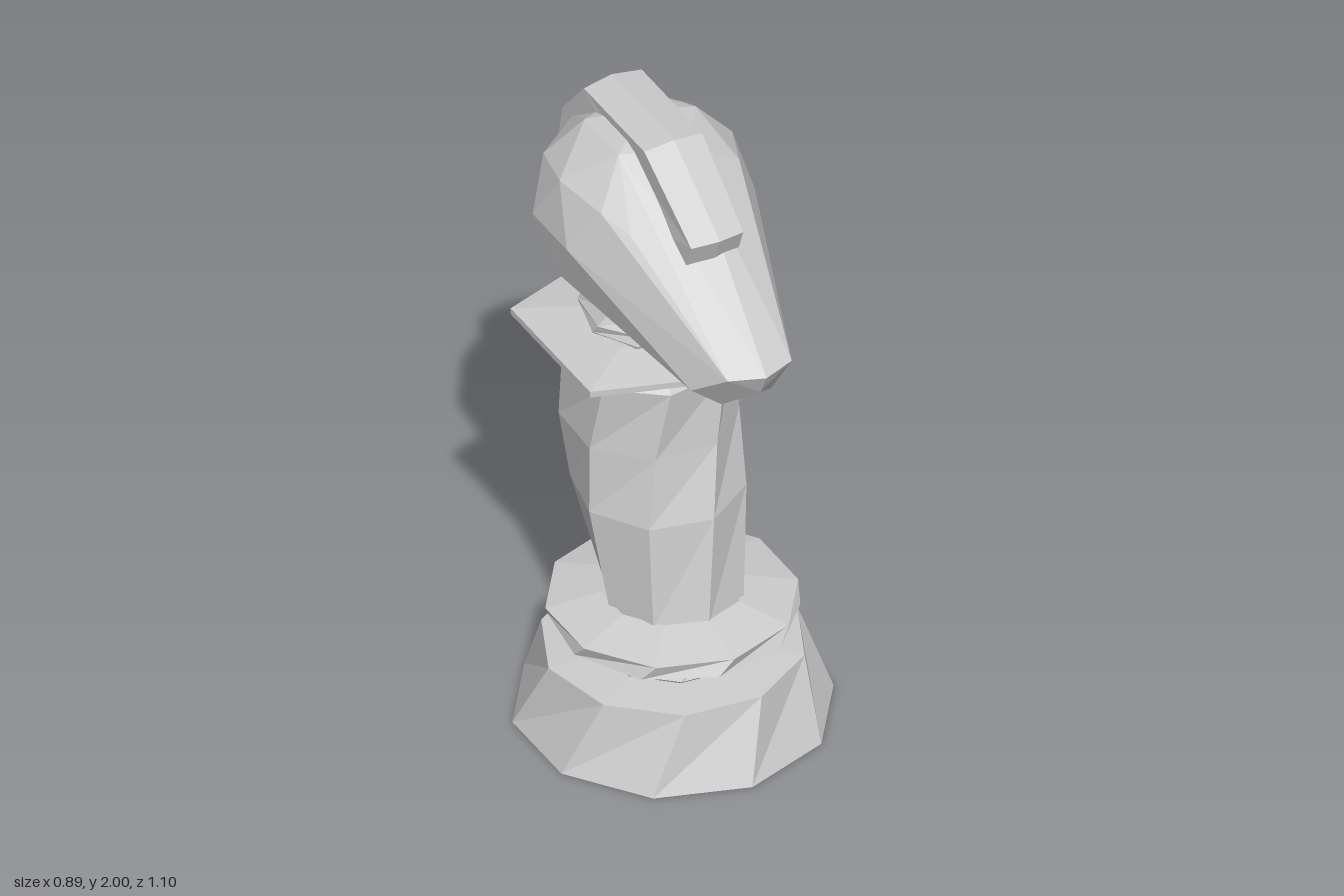
import * as THREE from 'three';
import { ConvexGeometry } from 'three/addons/geometries/ConvexGeometry.js';

const material = new THREE.MeshStandardMaterial({ color: 0xcccccc, flatShading: true });

function part(name, geometry) {
  geometry.computeVertexNormals();
  const mesh = new THREE.Mesh(geometry, material);
  mesh.name = name;
  return mesh;
}

// Joins polygon rings [radius, y, centreZ, twistDegrees]; profile runs so its outside is on the right.
function rings(name, sides, profile) {
  const pos = [], index = [];
  for (const [r, y, z, twist] of profile) {
    for (let i = 0; i < sides; i++) {
      const a = THREE.MathUtils.degToRad(twist) + i / sides * Math.PI * 2;
      pos.push(r * Math.sin(a), y, z + r * Math.cos(a));
    }
  }
  for (let k = 0; k < profile.length - 1; k++) {
    for (let i = 0; i < sides; i++) {
      const a = k * sides + i, b = k * sides + (i + 1) % sides;
      const c = a + sides, d = b + sides;
      index.push(a, b, d, a, d, c);
    }
  }
  const g = new THREE.BufferGeometry();
  g.setAttribute('position', new THREE.Float32BufferAttribute(pos, 3));
  g.setIndex(index);
  return part(name, g);
}

function buildHead() {
  // round skull with a corner at the pole and a ten-sided equator
  const skull = new THREE.IcosahedronGeometry(0.325, 1);
  skull.rotateX(-Math.atan((1 + Math.sqrt(5)) / 2));
  skull.rotateY(Math.PI / 2);
  skull.translate(0, 1.67, -0.175);
  const points = [];
  const p = skull.getAttribute('position');
  for (let i = 0; i < p.count; i++) points.push(new THREE.Vector3().fromBufferAttribute(p, i));

  // muzzle corners, wrapped into the same hull
  points.push(new THREE.Vector3(0, 1.5, 0.55), new THREE.Vector3(0, 1.43, 0.515));
  const muzzle = [
    [0.19, 1.78, 0.09], [0.105, 1.5, 0.51], [0.165, 1.42, 0.4],
    [0.08, 1.36, 0.43], [0.12, 1.345, 0.22],
  ];
  for (const [x, y, z] of muzzle) {
    points.push(new THREE.Vector3(x, y, z), new THREE.Vector3(-x, y, z));
  }
  return part('head', new ConvexGeometry(points));
}

function buildCrest() {
  // side outline as [z, y], running over the top and down the nape
  const outline = [
    [0.24, 1.72], [0.275, 1.81], [0.005, 2], [-0.365, 2], [-0.495, 1.85], [-0.55, 1.6], [-0.515, 1.43],
    [-0.3, 1.385], [-0.25, 1.5], [-0.38, 1.65], [-0.33, 1.8], [-0.16, 1.88], [0, 1.8], [0.1, 1.77],
  ];
  const shape = new THREE.Shape(outline.map(([z, y]) => new THREE.Vector2(-z, y)));
  const g = new THREE.ExtrudeGeometry(shape, { depth: 0.19, steps: 2, bevelEnabled: false });
  g.translate(0, 0, -0.095);
  g.rotateY(Math.PI / 2);
  // crown the middle by drawing both sides in, and narrow the front tip
  const p = g.getAttribute('position');
  for (let i = 0; i < p.count; i++) {
    const x = p.getX(i), y = p.getY(i), z = p.getZ(i);
    const k = Math.abs(x) > 0.05 ? 0.965 : 1;
    p.setXYZ(i, z > 0.2 ? x * 0.9 : x, 1.65 + (y - 1.65) * k, -0.165 + (z + 0.165) * k);
  }
  return part('crest', g);
}

export function createModel() {
  const group = new THREE.Group();
  group.name = 'chessPiece';

  // foot, hollow underneath
  group.add(rings('base', 10, [
    [0, 0.23, 0, 0], [0.14, 0.23, 0, 0], [0.315, 0, 0, 0], [0.47, 0, -0.003, 0],
    [0.388, 0.235, -0.003, 12], [0.24, 0.25, 0, 12],
  ]));

  // collar above the foot
  group.add(rings('lowerCollar', 10, [
    [0.24, 0.245, 0, 12], [0.255, 0.26, 0, 12], [0.24, 0.305, 0, 20], [0.365, 0.34, 0, 28],
    [0.37, 0.385, -0.01, 36], [0.21, 0.425, -0.005, 36],
  ]));

  // twisted, backward leaning shaft
  group.add(rings('shaft', 8, [
    [0.21, 0.41, 0, 0], [0.255, 0.74, -0.09, 10], [0.26, 0.955, -0.145, 20],
    [0.258, 1.18, -0.145, 30], [0.2, 1.24, -0.145, 30],
  ]));

  // thin five-sided plate
  group.add(rings('plate', 5, [
    [0, 1.235, -0.145, 90], [0.2, 1.235, -0.145, 90], [0.4, 1.255, -0.145, 90],
    [0.4, 1.275, -0.145, 90], [0.2, 1.3, -0.145, 90], [0, 1.3, -0.145, 90],
  ]));

  // short neck under the head
  group.add(rings('neck', 8, [
    [0.18, 1.28, -0.15, 0], [0.2, 1.31, -0.15, 8], [0.2, 1.34, -0.155, 16], [0.17, 1.39, -0.16, 24],
    [0.14, 1.45, -0.165, 24],
  ]));

  group.add(buildHead(), buildCrest());
  return group;
}
